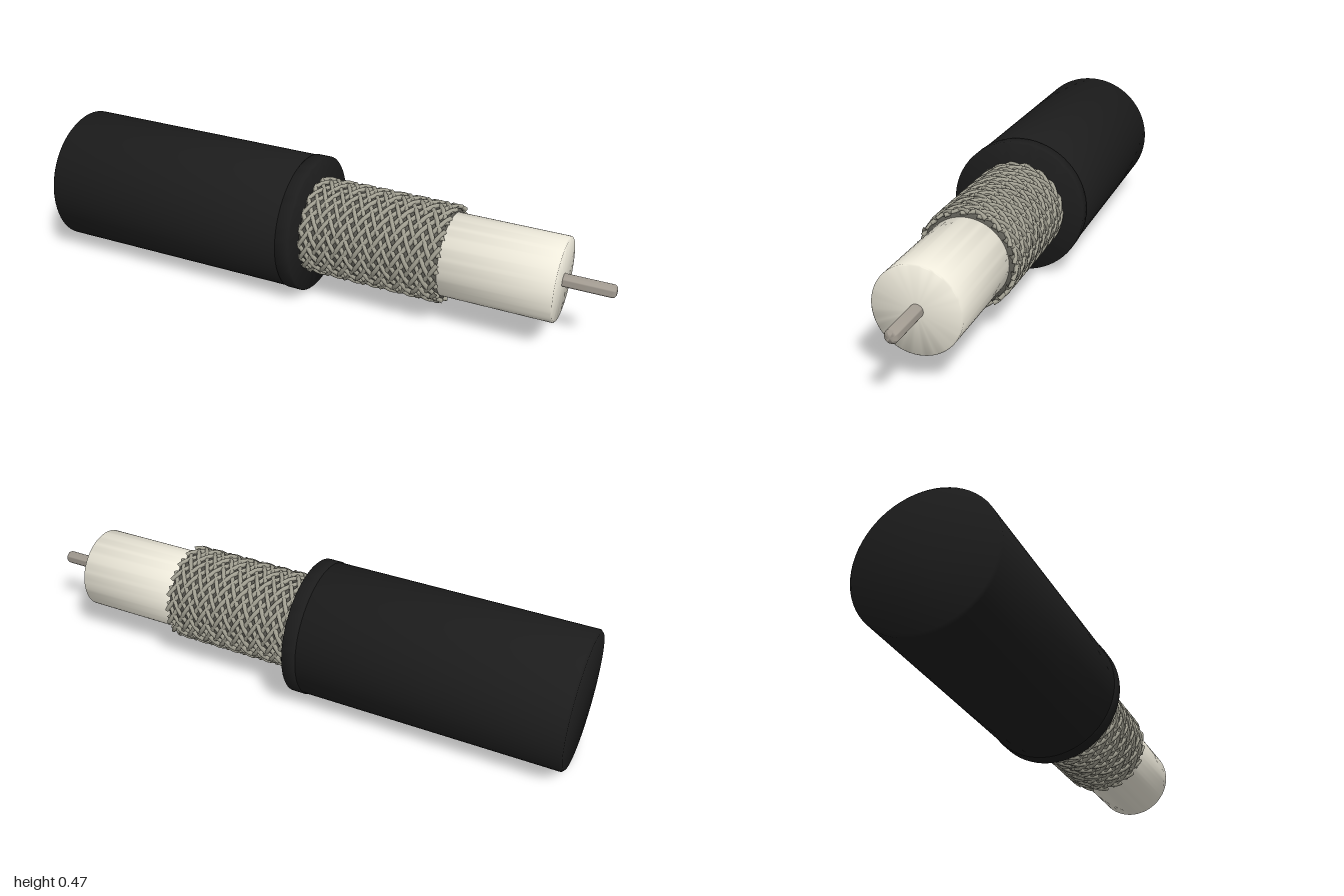
import * as THREE from 'three';
import { toCreasedNormals } from 'three/addons/utils/BufferGeometryUtils.js';

const mat = (color) => new THREE.MeshStandardMaterial({ color });

// Solid of revolution along x; profile is a list of [position along x, radius]
function turned(name, profile, material, segments = 64) {
  const points = profile.map(([x, r]) => new THREE.Vector2(r, x));
  const geometry = new THREE.LatheGeometry(points, segments).rotateZ(-Math.PI / 2);
  const mesh = new THREE.Mesh(toCreasedNormals(geometry, Math.PI / 3), material);
  mesh.name = name;
  return mesh;
}

// Closed rod from x0 to x1 with small bevels at both ends
const rod = (x0, x1, r, bevel) => [
  [x0, 0], [x0, r - bevel], [x0 + bevel, r], [x1 - bevel, r], [x1, r - bevel], [x1, 0],
];

// Helical wire that weaves in and out as it crosses the opposite layer
class BraidCurve extends THREE.Curve {
  constructor(phase, direction, strands) {
    super();
    Object.assign(this, { phase, direction, strands });
  }
  getPoint(t, target = new THREE.Vector3()) {
    const turn = t * 0.85 * Math.PI * 2;
    const angle = this.phase + this.direction * turn;
    const r = 0.159 + 0.003 * this.direction * Math.cos(turn * this.strands / 2);
    return target.set(-0.05 + 0.505 * t, r * Math.cos(angle), r * Math.sin(angle));
  }
}

export function createModel() {
  const model = new THREE.Group();
  model.name = 'coaxialCable';
  const jacketMat = mat(0x1c1c1c);
  const braidMat = mat(0xa3a193);

  const cable = new THREE.Group();
  cable.name = 'cable';
  cable.position.set(0, 0.238, 0.018);
  cable.rotation.y = -0.0437;
  model.add(cable);

  // Outer jacket and the slightly wider lip at its cut end
  cable.add(turned('jacket', rod(-0.99, -0.06, 0.234, 0.008), jacketMat));
  cable.add(turned('jacketLip', rod(-0.087, -0.035, 0.237, 0.004), jacketMat));

  // Shield layer beneath the braid
  cable.add(turned('shield', rod(-0.05, 0.45, 0.154, 0.002), mat(0x5c5b54)));

  // Woven braid: two opposing sets of helical wires
  const braid = new THREE.Group();
  braid.name = 'braid';
  const strands = 18;
  for (const direction of [1, -1]) {
    for (let i = 0; i < strands; i++) {
      const curve = new BraidCurve((i / strands) * Math.PI * 2, direction, strands);
      const wire = new THREE.Mesh(new THREE.TubeGeometry(curve, 80, 0.008, 6), braidMat);
      wire.name = 'braidWire';
      braid.add(wire);
    }
  }
  cable.add(braid);

  // Insulator around the centre conductor
  cable.add(turned('insulator', rod(0.4, 0.828, 0.142, 0.004), mat(0xeeeadb)));

  // Centre conductor with a softly rounded tip
  cable.add(turned('conductor', [
    [0.8, 0], [0.8, 0.022], [0.988, 0.022], [0.994, 0.019], [0.998, 0.012], [0.999, 0],
  ], mat(0xa39c92), 32));

  return model;
}
